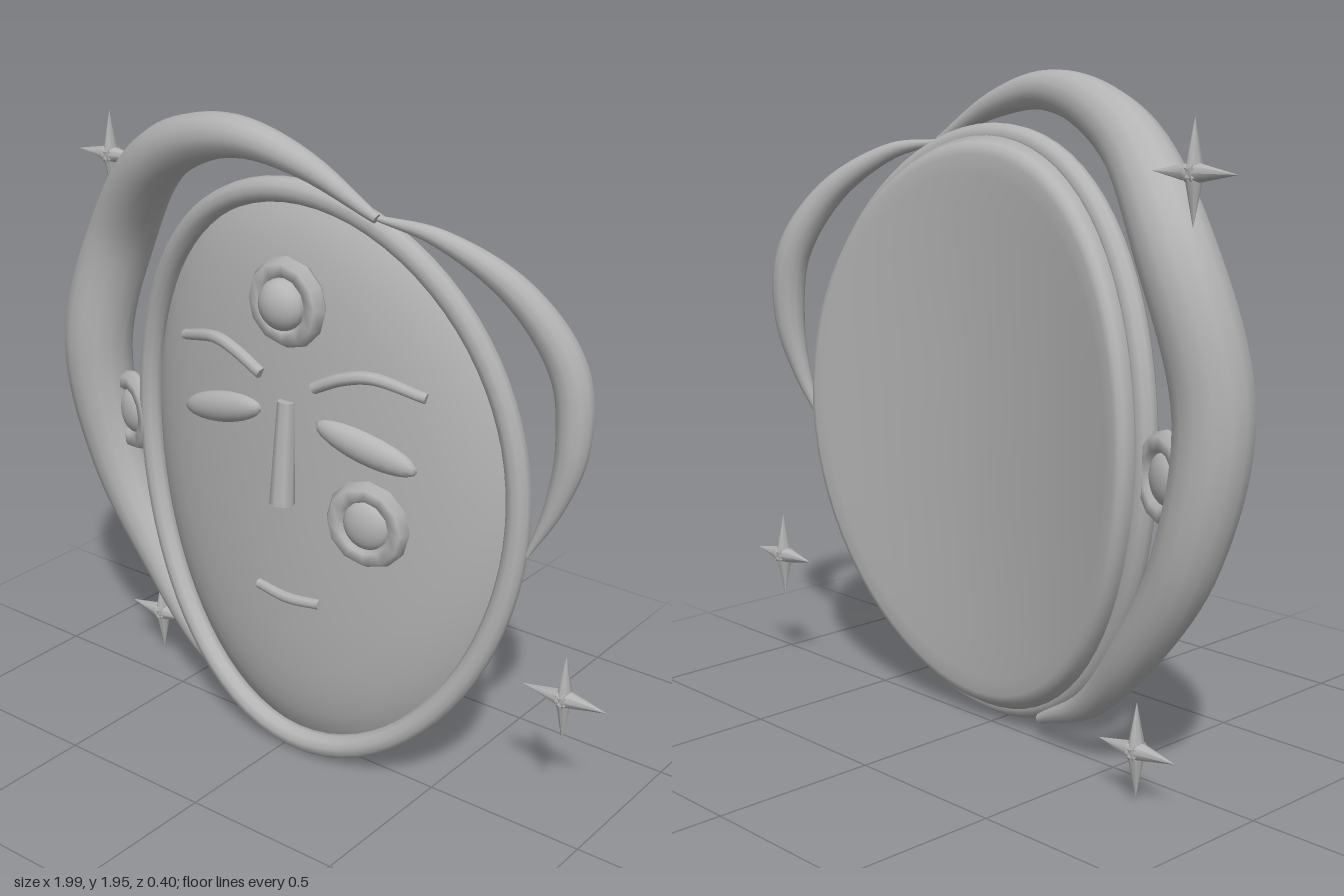
import * as THREE from 'three';
import { mergeVertices } from 'three/addons/utils/BufferGeometryUtils.js';

const CX = 0.05, CY = 0.907;
const grey = new THREE.MeshStandardMaterial({ color: 0xb4b4b4 });
grey.name = 'stone grey';

const V = (x, y, z) => new THREE.Vector3(x, y, z);
const bend = (x) => -0.23 * (x - CX) ** 2; // the whole mask curves around a vertical axis

function add(parent, name, geometry, x = 0, y = 0, z = 0) {
  const mesh = new THREE.Mesh(geometry, grey);
  mesh.name = name;
  mesh.position.set(x, y, z);
  parent.add(mesh);
  return mesh;
}

// Round tube through [x, y, z, radius] stations, with closed ends
function taperedTube(stations, segments = 48, sides = 12) {
  const path = new THREE.CatmullRomCurve3(stations.map(([x, y, z]) => V(x, y, z)));
  const radii = new THREE.CatmullRomCurve3(stations.map((s, i) => V(i, s[3], 0)));
  const frames = path.computeFrenetFrames(segments, false);
  const pos = [], index = [];
  for (let i = 0; i <= segments; i++) {
    const c = path.getPointAt(i / segments);
    const r = Math.max(0.004, radii.getPoint(path.getUtoTmapping(i / segments)).y);
    for (let j = 0; j < sides; j++) {
      const a = (j / sides) * Math.PI * 2;
      const p = c.clone()
        .addScaledVector(frames.normals[i], Math.cos(a) * r)
        .addScaledVector(frames.binormals[i], Math.sin(a) * r);
      pos.push(p.x, p.y, p.z);
    }
  }
  for (let i = 0; i < segments; i++) {
    for (let j = 0; j < sides; j++) {
      const a = i * sides + j, b = i * sides + (j + 1) % sides;
      index.push(a, b, a + sides, b, b + sides, a + sides);
    }
  }
  // End caps with their own vertices so the ends stay crisp
  for (const end of [0, segments]) {
    const first = pos.length / 3;
    for (let j = 0; j < sides; j++) {
      const k = (end * sides + j) * 3;
      pos.push(pos[k], pos[k + 1], pos[k + 2]);
    }
    for (let j = 1; j < sides - 1; j++) {
      if (end) index.push(first, first + j, first + j + 1);
      else index.push(first, first + j + 1, first + j);
    }
  }
  const g = new THREE.BufferGeometry();
  g.setAttribute('position', new THREE.Float32BufferAttribute(pos, 3));
  g.setIndex(index);
  g.computeVertexNormals();
  return g;
}

// Solid rounded disc: a lathe stretched into the egg outline and bent
function facePlate() {
  const profile = [
    [0, -0.02], [0.3, -0.02], [0.55, -0.021], [0.75, -0.023], [0.88, -0.024], [0.94, -0.022],
    [0.965, -0.014], [0.98, 0], [1, 0.03],
    [0.97, 0.045], [0.93, 0.062], [0.88, 0.079], [0.8, 0.096], [0.7, 0.108], [0.55, 0.117],
    [0.35, 0.122], [0.15, 0.124], [0, 0.124],
  ];
  let g = new THREE.LatheGeometry(profile.map(([r, h]) => new THREE.Vector2(r, h)), 72);
  g.rotateX(Math.PI / 2);
  const p = g.attributes.position;
  for (let i = 0; i < p.count; i++) {
    const x = CX + p.getX(i) * 0.68 * (1 + 0.04 * p.getY(i));
    p.setXYZ(i, x, CY + p.getY(i) * 0.865, p.getZ(i) + bend(x));
  }
  g.deleteAttribute('uv');
  g.deleteAttribute('normal');
  g = mergeVertices(g, 1e-4);
  g.computeVertexNormals();
  return g;
}

// Ring with a ball set in it
function ringedEye(parent, name, x, y, z, turn, ballDepth, ballOffset) {
  const eye = new THREE.Group();
  eye.name = name;
  eye.position.set(x, y, z);
  eye.rotation.y = turn;
  add(eye, 'eyeRing', new THREE.TorusGeometry(0.099, 0.034, 6, 12));
  add(eye, 'eyeBall', new THREE.SphereGeometry(0.075, 20, 14), 0, 0, ballOffset).scale.z = ballDepth;
  parent.add(eye);
}

// Four-pointed star made of slim cones
function star(parent, x, y) {
  const group = new THREE.Group();
  group.name = 'star';
  group.position.set(x, y, -0.13);
  const cone = new THREE.ConeGeometry(0.03, 0.15, 8).translate(0, 0.063, 0);
  for (let i = 0; i < 4; i++) {
    const arm = add(group, 'starArm', cone);
    arm.rotation.z = (i * Math.PI) / 2;
    arm.scale.set(i % 2 ? 1 : 0.8, 1, 1.1);
  }
  parent.add(group);
}

export function createModel() {
  const model = new THREE.Group();
  model.name = 'moonMask';

  add(model, 'facePlate', facePlate());

  // Rounded rim around the face
  const rimPoints = [];
  for (let i = 0; i < 40; i++) {
    const a = (i / 40) * Math.PI * 2;
    const x = CX + Math.cos(a) * 0.68 * (1 + 0.04 * Math.sin(a));
    rimPoints.push(V(x, CY + Math.sin(a) * 0.865, 0.073 + bend(x)));
  }
  add(model, 'rim', new THREE.TubeGeometry(new THREE.CatmullRomCurve3(rimPoints, true), 80, 0.036, 10, true));

  // Crescents hugging the face
  add(model, 'largeCrescent', taperedTube([
    [0.33, 1.745, 0.095, 0.014], [0.1, 1.86, 0.113, 0.04], [-0.15, 1.9, 0.1, 0.06],
    [-0.5, 1.785, 0.015, 0.087], [-0.77, 1.5, -0.088, 0.108], [-0.89, 1.1, -0.07, 0.11],
    [-0.82, 0.7, -0.083, 0.094], [-0.63, 0.39, -0.07, 0.068], [-0.42, 0.18, -0.025, 0.042],
    [-0.2, 0.068, 0.01, 0.016],
  ], 72, 14));
  add(model, 'smallCrescent', taperedTube([
    [0.32, 1.745, 0.085, 0.008], [0.5, 1.71, 0.045, 0.026], [0.7, 1.58, -0.03, 0.044],
    [0.83, 1.38, -0.085, 0.054], [0.855, 1.17, -0.085, 0.048], [0.82, 0.99, -0.065, 0.028],
    [0.76, 0.84, -0.04, 0.006],
  ], 48, 12));

  // Forehead, cheek and side eyes
  ringedEye(model, 'foreheadEye', CX, 1.467, 0.122, 0, 0.72, 0.024);
  ringedEye(model, 'cheekEye', 0.325, 0.862, 0.105, 0.13, 0.5, 0.004);
  ringedEye(model, 'sideEye', -0.735, 0.9, -0.065, -0.35, 0.5, 0);

  // Closed eyes and brows, mirrored about the face
  for (const s of [-1, 1]) {
    const lid = add(model, 'closedEye', new THREE.SphereGeometry(1, 20, 12), CX + s * 0.26, 1.09, 0.1);
    lid.scale.set(0.167, 0.048, 0.038);
    lid.rotation.set(0, s * 0.12, -s * 0.24);
    add(model, 'brow', taperedTube([
      [CX + s * 0.095, 1.237, 0.125, 0.018], [CX + s * 0.19, 1.282, 0.118, 0.019],
      [CX + s * 0.28, 1.3, 0.103, 0.019], [CX + s * 0.435, 1.267, 0.066, 0.016],
    ], 16, 8));
  }

  // Tapered nose leaning out at the bottom
  add(model, 'nose', new THREE.CylinderGeometry(0.027, 0.038, 0.31, 8), CX, 1.02, 0.138).rotation.x = -0.07;

  add(model, 'mouth', taperedTube([
    [-0.065, 0.56, 0.118, 0.016], [CX, 0.55, 0.125, 0.017], [0.165, 0.56, 0.118, 0.016],
  ], 12, 8));

  for (const [x, y] of [[-0.858, 1.707], [0.855, 0.385], [-0.7, 0.152]]) star(model, x, y);

  return model;
}
